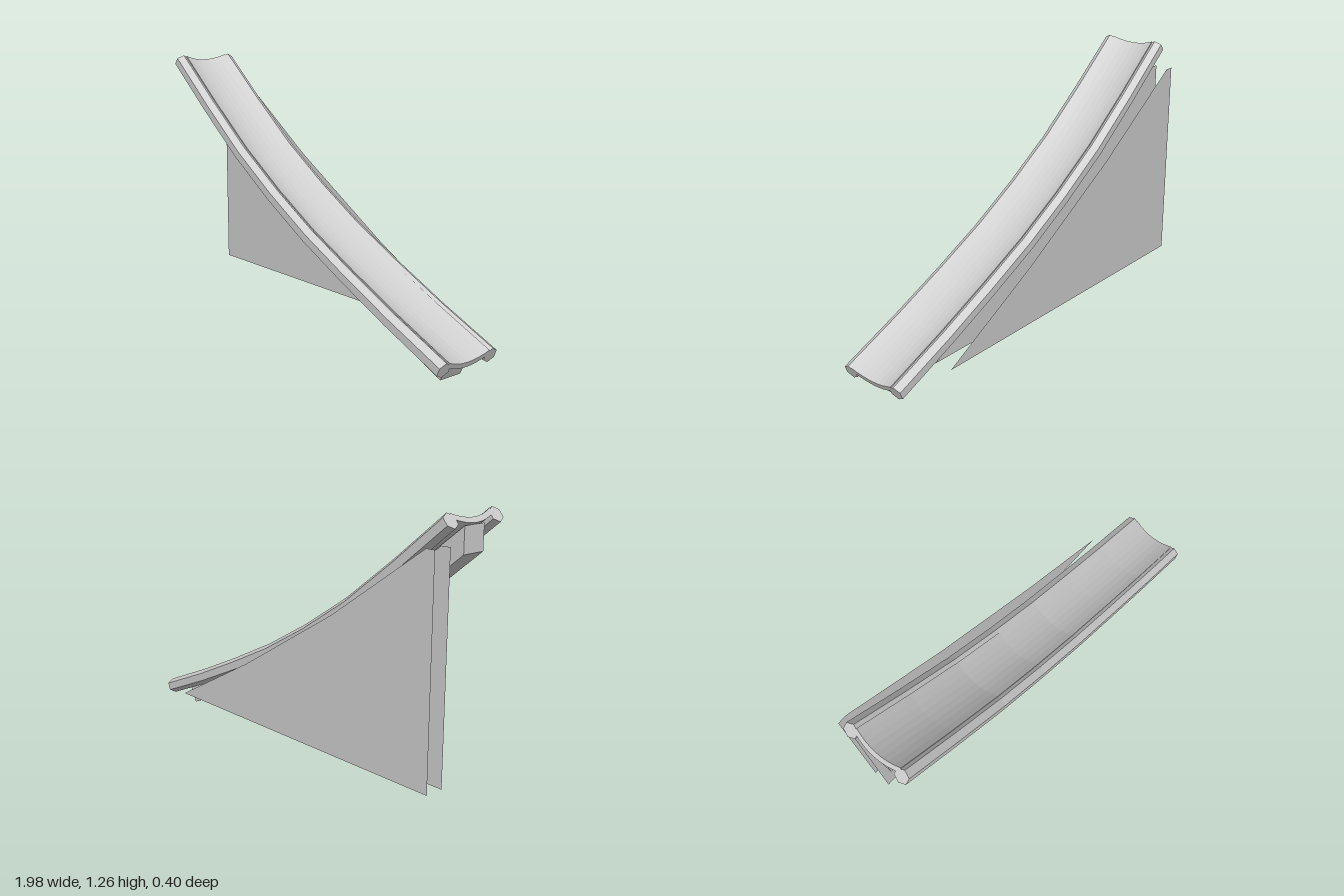
import * as THREE from 'three';

const material = new THREE.MeshStandardMaterial({ color: 0xcccccc, flatShading: true });
const panelMaterial = new THREE.MeshStandardMaterial({ color: 0xcccccc, side: THREE.DoubleSide });

// Centre line of the slide, from the high end to the low end (x, y)
const path = [
  [-0.97, 1.231], [-0.7, 1.012], [-0.425, 0.802], [-0.155, 0.628],
  [0.11, 0.478], [0.385, 0.345], [0.665, 0.218], [0.973, 0.09],
].map(([x, y]) => new THREE.Vector2(x, y));

// Upward normal of the slide at each path point
const normals = path.map((p, i) => {
  const t = path[Math.min(i + 1, path.length - 1)].clone().sub(path[Math.max(i - 1, 0)]).normalize();
  return new THREE.Vector2(-t.y, t.x);
});

// Sweep a counter-clockwise section (z, height) along the path and cap both ends
function sweep(section) {
  const rings = path.map((p, i) => section.map((s) =>
    [p.x + normals[i].x * s.y, p.y + normals[i].y * s.y, s.x]));
  const pos = [];
  const tri = (a, b, c) => pos.push(...a, ...b, ...c);
  for (let j = 0; j < rings.length - 1; j++) {
    section.forEach((_, i) => {
      const k = (i + 1) % section.length;
      const a = rings[j][i], b = rings[j][k], c = rings[j + 1][k], d = rings[j + 1][i];
      tri(a, d, c);
      tri(a, c, b);
    });
  }
  const first = rings[0], last = rings[rings.length - 1];
  for (const [a, b, c] of THREE.ShapeUtils.triangulateShape(section, [])) {
    tri(first[a], first[b], first[c]);
    tri(last[a], last[c], last[b]);
  }
  const geometry = new THREE.BufferGeometry();
  geometry.setAttribute('position', new THREE.Float32BufferAttribute(pos, 3));
  geometry.computeVertexNormals();
  return geometry;
}

export function createModel() {
  const group = new THREE.Group();
  const add = (name, geometry, mat = material) => {
    const mesh = new THREE.Mesh(geometry, mat);
    mesh.name = name;
    group.add(mesh);
    return mesh;
  };
  const midZ = 0.029;

  // Hexagonal side rails
  for (const [name, side] of [['frontRail', 1], ['backRail', -1]]) {
    const hexagon = [];
    for (let i = 0; i < 6; i++) {
      const a = Math.PI / 2 + (i * Math.PI) / 3;
      hexagon.push(new THREE.Vector2(midZ + side * 0.1385 + 0.0375 * Math.cos(a), 0.0375 * Math.sin(a)));
    }
    add(name, sweep(hexagon));
  }

  // Shallow concave chute between the rails
  const lower = [], upper = [];
  for (let i = 0; i <= 8; i++) {
    const u = -0.12 + 0.03 * i;
    const sag = 0.025 * (u / 0.11) ** 2;
    lower.push(new THREE.Vector2(midZ + u, sag - 0.023));
    upper.unshift(new THREE.Vector2(midZ + u, sag + 0.003));
  }
  add('chute', sweep([...lower, ...upper]));

  // Beam under the chute: cut upright at the high end, square at the low end
  const beamTop = path.map((p, i) => p.clone().addScaledVector(normals[i], -0.018));
  beamTop[0].set(-0.975, 1.205);
  beamTop[beamTop.length - 1].set(0.925, 0.09);
  const beamBottom = [
    [0.88, 0], [0.6, 0.125], [0.27, 0.28], [-0.07, 0.45], [-0.4, 0.65], [-0.7, 0.867], [-0.975, 1.09],
  ].map(([x, y]) => new THREE.Vector2(x, y));
  const beam = add('beam', new THREE.ExtrudeGeometry(
    new THREE.Shape([...beamTop, ...beamBottom]), { depth: 0.12, bevelEnabled: false }));
  beam.position.z = midZ - 0.06;

  // Two thin support panels behind the beam
  const panel = new THREE.ShapeGeometry(new THREE.Shape([
    [-0.975, 0.125], [0.735, 0.125], [0.2, 0.41], [-0.4, 0.767], [-0.93, 1.13], [-0.975, 1.13],
  ].map(([x, y]) => new THREE.Vector2(x, y))));
  add('innerPanel', panel, panelMaterial).position.z = -0.11;
  add('outerPanel', panel, panelMaterial).position.z = -0.2;

  return group;
}
